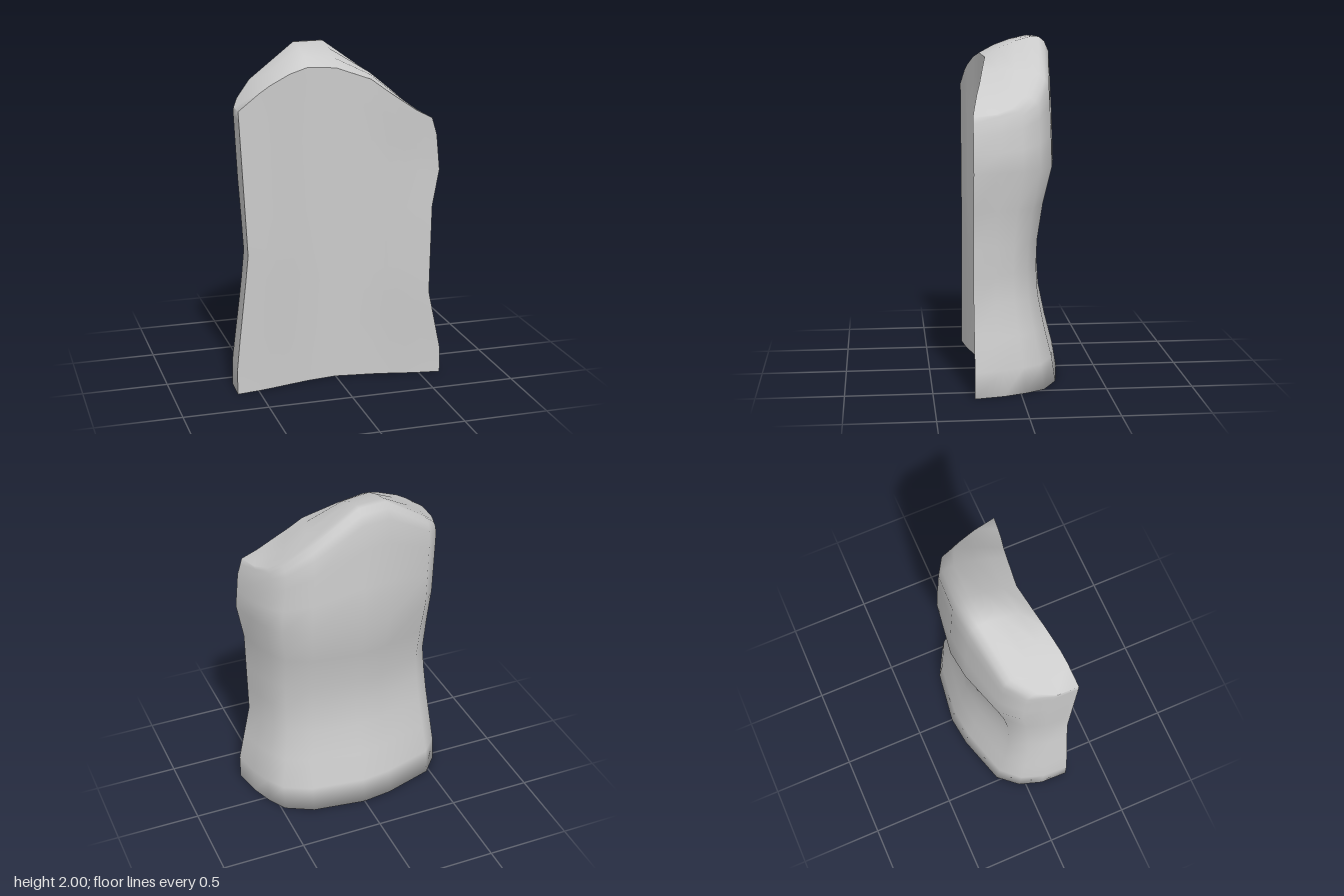
import * as THREE from 'three';
import { mergeVertices } from 'three/addons/utils/BufferGeometryUtils.js';

// Piecewise-linear lookup in a list of [input, value] pairs
function lookup(table, t) {
  if (t <= table[0][0]) return table[0][1];
  for (let i = 1; i < table.length; i++) {
    const [t0, v0] = table[i - 1], [t1, v1] = table[i];
    if (t <= t1) return v0 + (v1 - v0) * (t - t0) / (t1 - t0);
  }
  return table[table.length - 1][1];
}

// Half width on each side, and depth behind the centre, by height
const widthLeft = [[0, 0.628], [0.15, 0.628], [0.52, 0.55], [1.05, 0.56], [1.27, 0.6], [1.48, 0.58], [1.58, 0.55]];
const widthRight = [[0, 0.63], [0.17, 0.63], [0.83, 0.555], [1.68, 0.6]];
const backDepth = [[0, 0.27], [0.15, 0.245], [0.4, 0.18], [0.6, 0.145], [0.85, 0.155],
  [1.05, 0.19], [1.27, 0.245], [1.6, 0.235], [1.92, 0.215]];

// Columns from -x to +x: x, z and top height of the back arc
const back = [[-0.63, 0.268, 1.68], [-0.625, 0.1, 1.68], [-0.58, -0.04, 1.71], [-0.48, -0.155, 1.8],
  [-0.18, -0.247, 2], [0, -0.27, 2], [0.32, -0.225, 1.8], [0.48, -0.14, 1.68],
  [0.545, -0.03, 1.62], [0.595, 0.1, 1.59], [0.63, 0.268, 1.58]];
// The same for the hollow front
const front = [[-0.63, 0.268, 1.68], [-0.5, 0.25, 1.77], [-0.43, 0.237, 1.81], [-0.3, 0.208, 1.865],
  [-0.18, 0.182, 1.895], [0, 0.16, 1.88], [0.23, 0.192, 1.81], [0.33, 0.212, 1.745],
  [0.42, 0.233, 1.69], [0.52, 0.252, 1.63], [0.63, 0.268, 1.58]];

// Row heights: fixed up to the widest point, then stretched to each column's top
const lowRows = [0, 0.15, 0.33, 0.52, 0.68, 0.84, 1.05, 1.27];
const highRows = [0.35, 0.68, 0.88];
const rowsTo = (top, extra) => [...lowRows, ...[...highRows, ...extra].map(t => 1.27 + t * (top - 1.27))];

const scaleX = (x, y) => x * lookup(x < 0 ? widthRight : widthLeft, y) / 0.63;

function frontPoint([x, z], y) {
  return new THREE.Vector3(scaleX(x, y), y, z);
}

function backPoint([x, z], y, inset = 0) {
  const reach = (0.268 - z) * (0.268 + lookup(backDepth, y)) / 0.538;
  return new THREE.Vector3(scaleX(x, y), y, 0.268 - reach * (1 - inset));
}

// Skin a list of columns of points
function skin(columns, flip) {
  const n = columns[0].length, index = [];
  for (let i = 0; i < columns.length - 1; i++) {
    for (let j = 0; j < n - 1; j++) {
      const a = i * n + j, b = a + n;
      if (flip) index.push(a, a + 1, b, b, a + 1, b + 1);
      else index.push(a, b, a + 1, b, b + 1, a + 1);
    }
  }
  let geometry = new THREE.BufferGeometry().setFromPoints(columns.flat());
  geometry.setIndex(index);
  geometry = mergeVertices(geometry, 1e-4);
  geometry.computeVertexNormals();
  return geometry;
}

export function createModel() {
  const group = new THREE.Group();
  group.name = 'curvedSlab';
  const material = new THREE.MeshStandardMaterial({ color: 0xcccccc });
  const add = (name, geometry) => {
    const mesh = new THREE.Mesh(geometry, material);
    mesh.name = name;
    group.add(mesh);
  };

  // Hollow front face
  add('frontFace', skin(front.map(c => rowsTo(c[2], [1]).map(y => frontPoint(c, y))), false));

  // Underside, waisted back and rounded top in one smooth shell
  const shell = back.map((c, i) => {
    const f = front[i];
    const rise = Math.min(1, (0.268 - c[1]) / 0.5);
    const bottomFront = frontPoint(f, 0), bottomBack = backPoint(c, 0);
    const crest = backPoint(c, c[2], 0.2), topFront = frontPoint(f, f[2]);
    const crown = [0.35, 0.7].map(t => {
      const p = crest.clone().lerp(topFront, t);
      p.y += 0.015 * rise;
      return p;
    });
    return [
      bottomFront, bottomFront.clone().lerp(bottomBack, 0.5),
      ...rowsTo(c[2], []).map(y => backPoint(c, y)),
      backPoint(c, c[2] - 0.03 * rise, 0.05),
      backPoint(c, c[2] - 0.003 * rise, 0.12),
      crest, ...crown, topFront,
    ];
  });
  add('backShell', skin(shell, true));
  return group;
}
